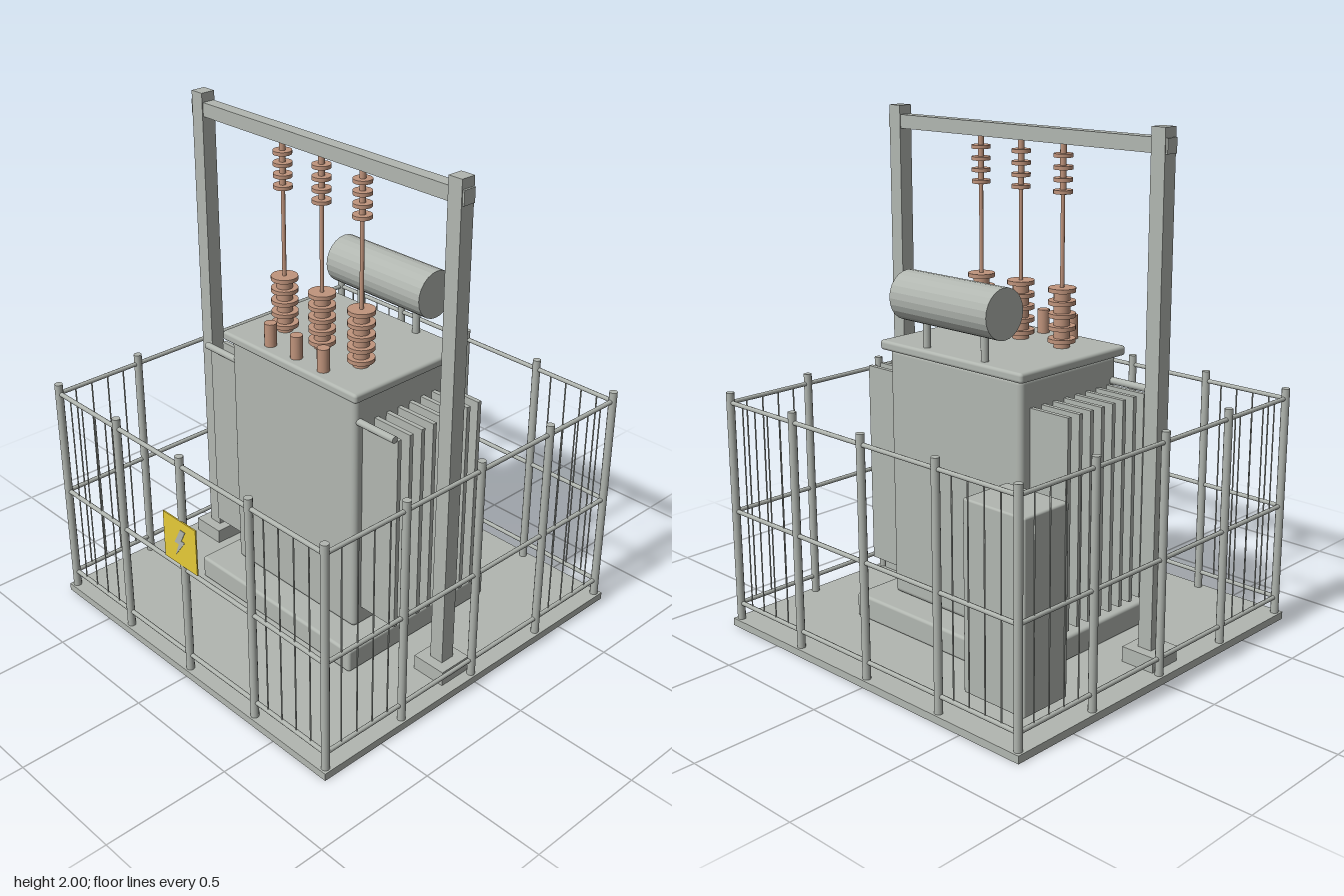
import * as THREE from 'three';
import { RoundedBoxGeometry } from 'three/addons/geometries/RoundedBoxGeometry.js';

const steel = new THREE.MeshStandardMaterial({ color: 0xb1b6b0 });
steel.name = 'grey steel';
const copper = new THREE.MeshStandardMaterial({ color: 0xc0947c });
copper.name = 'brown porcelain';
const yellow = new THREE.MeshStandardMaterial({ color: 0xe6ca38 });
yellow.name = 'warning yellow';

export function createModel() {
  const model = new THREE.Group();
  model.name = 'transformerStation';

  function add(name, geometry, material, x, y, z, parent = model) {
    const mesh = new THREE.Mesh(geometry, material);
    mesh.name = name;
    mesh.position.set(x, y, z);
    parent.add(mesh);
    return mesh;
  }
  // Box given by its limits on each axis, optionally with rounded edges
  function box(name, [x0, x1], [y0, y1], [z0, z1], radius = 0, material = steel, parent = model) {
    const size = [x1 - x0, y1 - y0, z1 - z0];
    const geometry = radius ? new RoundedBoxGeometry(...size, 2, radius) : new THREE.BoxGeometry(...size);
    return add(name, geometry, material, (x0 + x1) / 2, (y0 + y1) / 2, (z0 + z1) / 2, parent);
  }
  // Upright round bar
  function bar(name, r, y0, y1, x, z, material = steel, parent = model, sides = 12) {
    return add(name, new THREE.CylinderGeometry(r, r, y1 - y0, sides), material, x, (y0 + y1) / 2, z, parent);
  }
  // Horizontal round bar along x
  function barX(name, r, x0, x1, y, z, parent = model, sides = 12) {
    const geometry = new THREE.CylinderGeometry(r, r, x1 - x0, sides).rotateZ(Math.PI / 2);
    return add(name, geometry, steel, (x0 + x1) / 2, y, z, parent);
  }

  // Ground slab, plinth, tank and lid
  box('baseSlab', [-0.775, 0.775], [0, 0.03], [-0.775, 0.775]);
  box('plinth', [-0.438, 0.438], [0.03, 0.128], [-0.418, 0.338], 0.012);
  box('tank', [-0.342, 0.342], [0.127, 1.125], [-0.302, 0.222], 0.02);
  box('tankLid', [-0.368, 0.368], [1.12, 1.158], [-0.328, 0.246], 0.012);

  // Cooling fins and header pipe on both sides
  for (const side of [-1, 1]) {
    const radiator = new THREE.Group();
    radiator.name = side > 0 ? 'leftRadiator' : 'rightRadiator';
    model.add(radiator);
    const xs = side > 0 ? [0.33, 0.52] : [-0.52, -0.33];
    for (let i = 0; i < 8; i++) {
      const z = -0.245 + i * 0.06;
      box('coolingFin', xs, [0.21, 1.015], [z - 0.009, z + 0.009], 0, steel, radiator);
    }
    barX('headerPipe', 0.014, xs[0], xs[1], 1.026, 0.2, radiator);
  }

  // Oil conservator drum with two legs
  const drum = barX('conservator', 0.095, -0.248, 0.248, 1.345, -0.286, model, 24);
  drum.geometry = drum.geometry.toNonIndexed();
  drum.geometry.computeVertexNormals();
  for (const x of [-0.15, 0.15]) bar('conservatorLeg', 0.015, 1.15, 1.27, x, -0.286);

  // High voltage bushings, leads and hanging insulators
  for (const x of [-0.208, 0, 0.208]) {
    const phase = new THREE.Group();
    phase.name = 'phaseLine';
    phase.position.set(x, 0, 0.063);
    model.add(phase);
    bar('bushingCore', 0.031, 1.15, 1.365, 0, 0, copper, phase, 20);
    for (let i = 0; i < 5; i++) {
      const y = 1.186 + i * 0.0475;
      bar('bushingShed', 0.052, y - 0.008, y + 0.008, 0, 0, copper, phase, 24);
    }
    bar('lead', 0.008, 1.38, 1.915, 0, 0, copper, phase, 10);
    bar('insulatorCore', 0.012, 1.725, 1.915, 0, 0, copper, phase, 12);
    for (let i = 0; i < 4; i++) {
      const y = 1.737 + i * 0.0437;
      bar('insulatorShed', 0.036, y - 0.007, y + 0.007, 0, 0, copper, phase, 20);
    }
  }
  // Low voltage bushings
  for (const x of [-0.145, 0, 0.145]) bar('lowBushing', 0.024, 1.15, 1.25, x, 0.192, copper, model, 16);

  // Gantry
  for (const s of [-1, 1]) {
    const x = s * 0.657;
    box('gantryFooting', [x - 0.072, x + 0.072], [0.03, 0.09], [-0.009, 0.135]);
    box('gantryPost', [x - 0.03, x + 0.03], [0.09, 2], [0.033, 0.093]);
  }
  box('gantryBeam', [-0.695, 0.695], [1.91, 1.964], [0.037, 0.089]);

  // Control cabinet with door and handle
  box('controlCabinet', [-0.688, -0.402], [0.082, 0.8], [-0.655, -0.436], 0.008);
  box('cabinetDoor', [-0.66, -0.428], [0.2, 0.762], [-0.437, -0.429]);
  box('cabinetHandle', [-0.485, -0.465], [0.59, 0.62], [-0.43, -0.42]);

  // Fence: one run per side, each starting at its own corner, pickets in the outer bays only
  const half = 0.752;
  const bay = half / 2;
  for (let k = 0; k < 4; k++) {
    const run = new THREE.Group();
    run.name = 'fenceRun';
    run.rotation.y = k * Math.PI / 2;
    model.add(run);
    for (const y of [0.097, 0.483, 0.922]) barX('fenceRail', 0.009, -half, half, y, half, run, 8);
    for (let i = 0; i < 4; i++) {
      bar('fencePost', 0.016, 0.03, 0.962, -half + i * bay, half, steel, run, 12);
    }
    for (const start of [-half, bay]) {
      for (let j = 1; j < 5; j++) {
        bar('fencePicket', 0.003, 0.097, 0.922, start + j * bay / 5, half, steel, run, 6);
      }
    }
  }

  // Warning plate with a lightning bolt
  box('warningPlate', [-0.094, 0.094], [0.507, 0.7], [0.763, 0.7685], 0, yellow);
  const bolt = new THREE.Shape([
    [0.006, 0.06], [-0.03, -0.006], [-0.006, -0.006], [-0.026, -0.06], [0.03, 0.014], [0.01, 0.014], [0.034, 0.06],
  ].map(([x, y]) => new THREE.Vector2(x, y)));
  add('boltSign', new THREE.ExtrudeGeometry(bolt, { depth: 0.002, bevelEnabled: false }), steel, 0, 0.603, 0.7685);

  return model;
}
